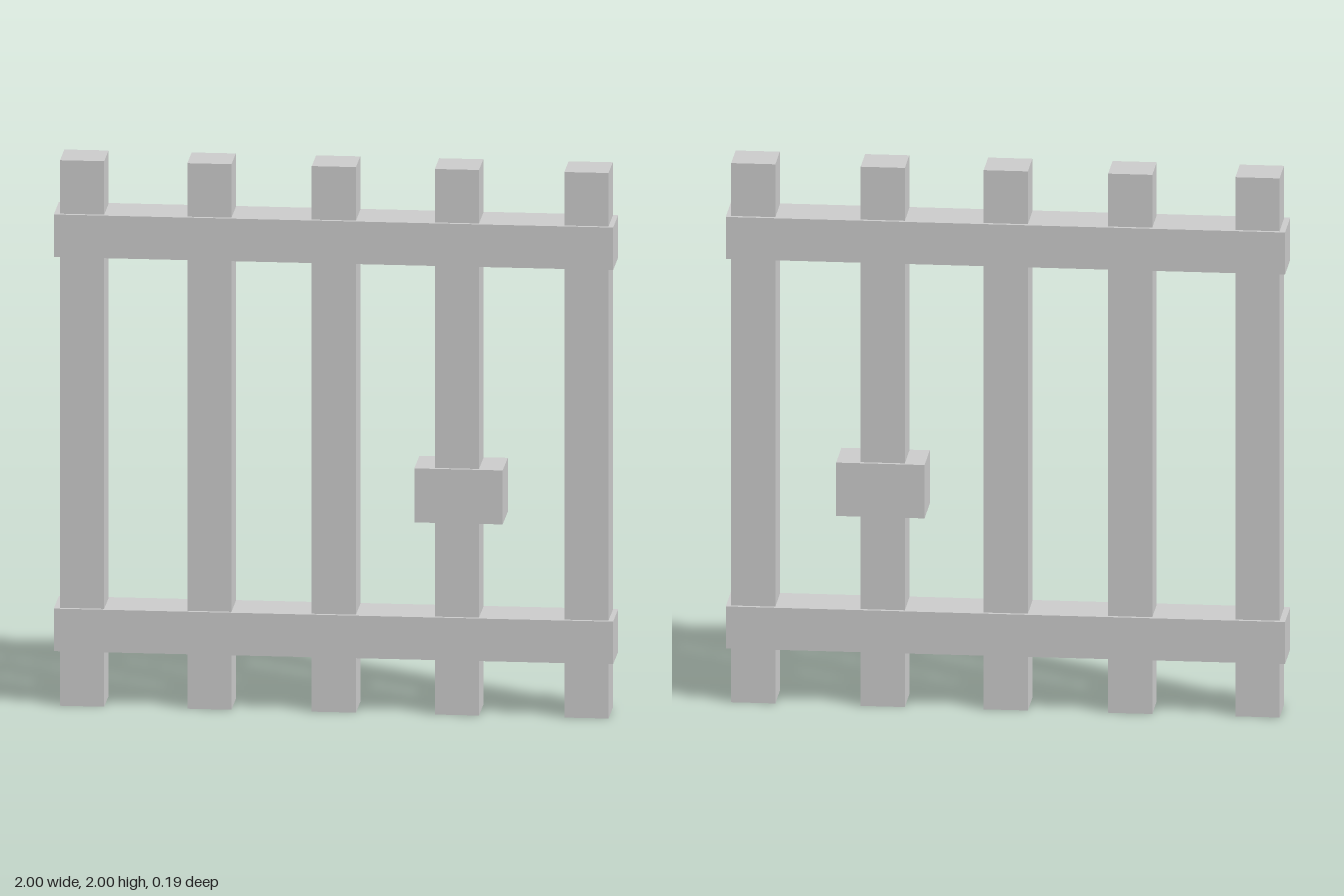
import * as THREE from 'three';

export function createModel() {
  const group = new THREE.Group();
  const material = new THREE.MeshStandardMaterial({ color: 0xcccccc, flatShading: true });

  function addBox(name, [w, h, d], [x, y, z]) {
    const mesh = new THREE.Mesh(new THREE.BoxGeometry(w, h, d), material);
    mesh.name = name;
    mesh.position.set(x, y, z);
    group.add(mesh);
  }

  // Upright square bars, slightly unevenly spaced
  [-0.9, -0.445, 0, 0.44, 0.903].forEach((x, i) =>
    addBox(`uprightBar${i + 1}`, [0.158, 2, 0.16], [x, 1, 0]));

  // Cross rails wrapping the bars
  addBox('lowerRail', [2, 0.156, 0.188], [0, 0.281, 0]);
  addBox('upperRail', [2, 0.156, 0.188], [0, 1.726, 0]);

  // Lock block around the fourth bar
  addBox('lockBlock', [0.316, 0.198, 0.188], [0.447, 0.805, 0]);

  return group;
}
